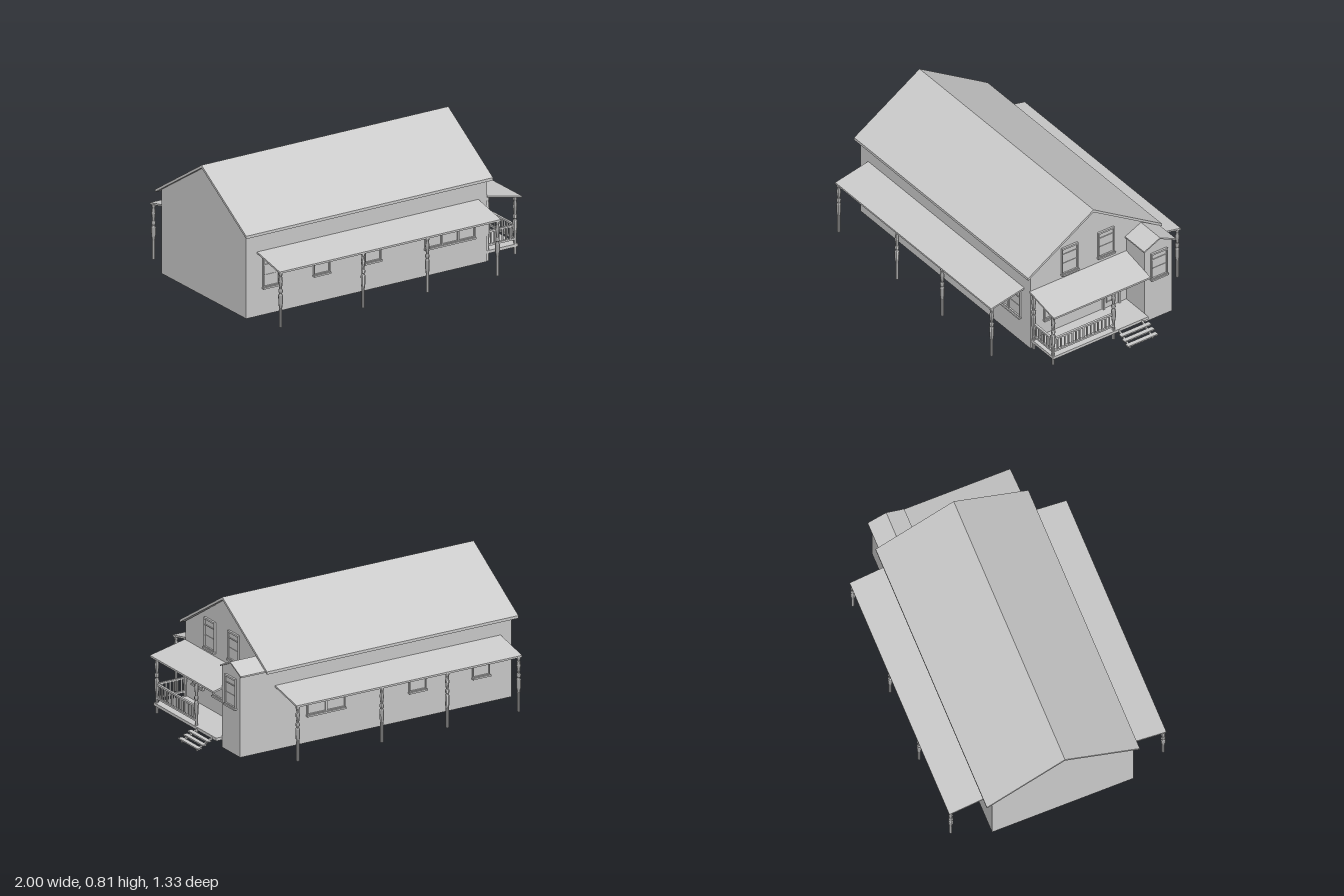
import * as THREE from 'three';

const grey = new THREE.MeshStandardMaterial({ color: 0xcccccc, side: THREE.DoubleSide, flatShading: true });

function add(parent, name, geometry) {
  const mesh = new THREE.Mesh(geometry, grey);
  mesh.name = name;
  parent.add(mesh);
  return mesh;
}

// Box given by its lower and upper corners
function box(parent, name, x0, x1, y0, y1, z0, z1) {
  const g = new THREE.BoxGeometry(x1 - x0, y1 - y0, z1 - z0);
  return add(parent, name, g.translate((x0 + x1) / 2, (y0 + y1) / 2, (z0 + z1) / 2));
}

const outline = pts => new THREE.Shape(pts.map(p => new THREE.Vector2(...p)));

// Roof slab: top line of [a, y] points, thickened downwards
function slab(top, t, length) {
  const under = top.map(([a, y]) => [a, y - t]).reverse();
  return new THREE.ExtrudeGeometry(outline([...top, ...under]), { depth: length, bevelEnabled: false });
}

// Slab whose profile lies in z-y and runs along x
const slabAlongX = (top, t, x0, x1) => slab(top, t, x1 - x0).rotateY(-Math.PI / 2).translate(x1, 0, 0);

// Open-bottomed walls with a gable at each end
function gabledWalls(parent, name, x0, x1, z0, z1, eave, ridgeZ, ridgeY) {
  const g = new THREE.Group();
  g.name = name;
  const h = eave - 0.01, y = 0.01 + h / 2;
  const end = [[z0, 0.01], [z1, 0.01], [z1, eave], [ridgeZ, ridgeY], [z0, eave]];
  for (const x of [x0, x1]) {
    const wall = new THREE.ShapeGeometry(outline(end)).rotateY(-Math.PI / 2);
    if (x === x1) { // face outwards
      const idx = wall.index.array;
      for (let i = 0; i < idx.length; i += 3) [idx[i], idx[i + 1]] = [idx[i + 1], idx[i]];
      wall.attributes.normal.array.forEach((v, i, a) => { a[i] = -v; });
    }
    add(g, 'gableWall', wall.translate(x, 0, 0));
  }
  for (const z of [z0, z1]) {
    add(g, 'sideWall', new THREE.PlaneGeometry(x1 - x0, h)
      .rotateY(z === z0 ? Math.PI : 0).translate((x0 + x1) / 2, y, z));
  }
  parent.add(g);
}

// Window facing +z with its lower centre at the origin, n lights wide
function makeWindow(w, h, n = 1) {
  const g = new THREE.Group();
  g.name = 'window';
  const f = 0.011, d = 0.012, lw = w / n;
  box(g, 'glass', -w / 2, w / 2, 0, h, 0, 0.003);
  for (let i = 0; i <= n; i++) {
    const x = -w / 2 + i * lw;
    box(g, 'jamb', Math.max(x - f / 2, -w / 2), Math.min(x + f / 2, w / 2), 0, h, 0, d);
  }
  box(g, 'head', -w / 2, w / 2, h - f, h, 0, d);
  box(g, 'bottomRail', -w / 2, w / 2, 0, f, 0, d);
  box(g, 'glazingBar', -w / 2, w / 2, h * 0.74, h * 0.74 + 0.005, 0, 0.008);
  box(g, 'glazingBar', -w / 2, w / 2, h * 0.4, h * 0.4 + 0.005, 0, 0.006);
  box(g, 'sill', -w / 2 - 0.003, w / 2 + 0.003, -0.004, 0.006, 0, 0.02);
  return g;
}

function place(parent, object, x, y, z, turn = 0) {
  object.position.set(x, y, z);
  object.rotation.y = turn;
  parent.add(object);
}

// Turned post from y = 0.01 up to the given height
const postProfile = [[0, 0], [0.009, 0], [0.009, 0.34], [0.013, 0.43], [0.014, 0.58], [0.008, 0.62],
  [0.013, 0.64], [0.013, 0.68], [0.008, 0.7], [0.013, 0.84], [0.009, 0.93], [0.012, 0.96], [0.012, 1], [0, 1]];
function post(parent, x, z, top) {
  const pts = postProfile.map(([r, t]) => new THREE.Vector2(r, 0.01 + t * (top - 0.01)));
  add(parent, 'post', new THREE.LatheGeometry(pts, 8)).position.set(x, 0, z);
}

export function createModel() {
  const house = new THREE.Group();
  house.name = 'house';

  // Main block and its roof
  gabledWalls(house, 'mainWalls', -0.98, 0.67, -0.435, 0.435, 0.524, 0.005, 0.797);
  add(house, 'mainRoof', slabAlongX([[0.465, 0.527], [0.005, 0.815], [-0.475, 0.514]], 0.017, -1, 0.69));

  // Small gabled bay beside the porch
  gabledWalls(house, 'bayWalls', 0.67, 0.845, -0.435, -0.24, 0.508, -0.343, 0.558);
  add(house, 'bayRoof', slabAlongX([[-0.232, 0.514], [-0.343, 0.567], [-0.457, 0.512]], 0.009, 0.67, 0.855));

  // Long lean-to roofs on both sides, with posts
  for (const s of [1, -1]) {
    const side = new THREE.Group();
    side.name = s > 0 ? 'frontVeranda' : 'backVeranda';
    add(side, 'verandaRoof', slabAlongX([[s * 0.435, 0.402], [s * 0.667, 0.353]], 0.011, -0.905, 0.61));
    for (const x of [-0.89, -0.325, 0.115, 0.595]) post(side, s > 0 ? x : -0.295 - x, s * 0.653, 0.345);
    house.add(side);
  }

  // Windows of the long walls: [centre x, width, lights]
  for (const [x, w, n] of [[-0.815, 0.11, 1], [-0.467, 0.11, 1], [-0.118, 0.11, 1], [0.41, 0.34, 3]])
    place(house, makeWindow(w, 0.185, n), x, 0.175, 0.435);
  for (const [x, w, n] of [[-0.77, 0.115, 1], [-0.343, 0.115, 1], [0.273, 0.255, 2]])
    place(house, makeWindow(w, 0.185, n), x, 0.175, -0.435, Math.PI);

  // Windows of the gable end and the bay: [x, y, z, height]
  for (const [x, y, z, h] of [[0.67, 0.437, 0.162, 0.186], [0.67, 0.447, -0.093, 0.178],
    [0.67, 0.172, 0.287, 0.185], [0.67, 0.172, 0.065, 0.185], [0.845, 0.292, -0.34, 0.183]])
    place(house, makeWindow(0.113, h), x, y, z, Math.PI / 2);

  // Panelled door
  const door = new THREE.Group();
  door.name = 'door';
  box(door, 'doorLeaf', -0.06, 0.06, 0, 0.24, 0, 0.004);
  for (const s of [-1, 1]) {
    box(door, 'doorJamb', s * 0.056 - 0.006, s * 0.056 + 0.006, 0, 0.245, 0, 0.014);
    box(door, 'panelMoulding', s * 0.031 - 0.003, s * 0.031 + 0.003, 0.035, 0.17, 0, 0.009);
  }
  box(door, 'doorHead', -0.062, 0.062, 0.233, 0.245, 0, 0.014);
  for (const y of [0.035, 0.164]) box(door, 'panelMoulding', -0.034, 0.034, y, y + 0.006, 0, 0.009);
  box(door, 'doorPanel', -0.023, 0.023, 0.05, 0.152, 0, 0.008);
  box(door, 'upperPanel', -0.04, 0.04, 0.19, 0.215, 0, 0.008);
  place(house, door, 0.67, 0.075, -0.13, Math.PI / 2);

  // End porch: roof, floor and posts
  const porch = new THREE.Group();
  porch.name = 'porch';
  add(porch, 'porchRoof', slab([[0.67, 0.412], [0.905, 0.362]], 0.011, 0.68).translate(0, 0, -0.24));
  box(porch, 'porchFloor', 0.67, 0.885, 0.055, 0.073, -0.24, 0.43);
  post(porch, 0.87, 0.42, 0.358);
  post(porch, 0.87, -0.005, 0.358);
  post(porch, 0.682, 0.42, 0.398);

  // Railings with balusters
  for (const y of [0.098, 0.18]) {
    box(porch, 'rail', 0.863, 0.877, y, y + 0.011, 0, 0.42);
    box(porch, 'rail', 0.68, 0.87, y, y + 0.011, 0.413, 0.427);
  }
  for (let z = 0.025; z < 0.41; z += 0.026) box(porch, 'baluster', 0.866, 0.874, 0.1, 0.185, z - 0.004, z + 0.004);
  for (let x = 0.705; x < 0.86; x += 0.026) box(porch, 'baluster', x - 0.004, x + 0.004, 0.1, 0.185, 0.416, 0.424);

  // Open steps
  const steps = new THREE.Group();
  steps.name = 'steps';
  for (const z of [-0.2, -0.04])
    add(steps, 'stringer', slab([[0.875, 0.07], [0.99, 0.012]], 0.012, 0.01).translate(0, 0, z));
  [[0.922, 0.054], [0.953, 0.038], [0.986, 0.022]].forEach(([x, y]) =>
    box(steps, 'tread', x - 0.014, x + 0.014, y - 0.004, y + 0.004, -0.225, -0.015));
  porch.add(steps);
  house.add(porch);

  return house;
}
